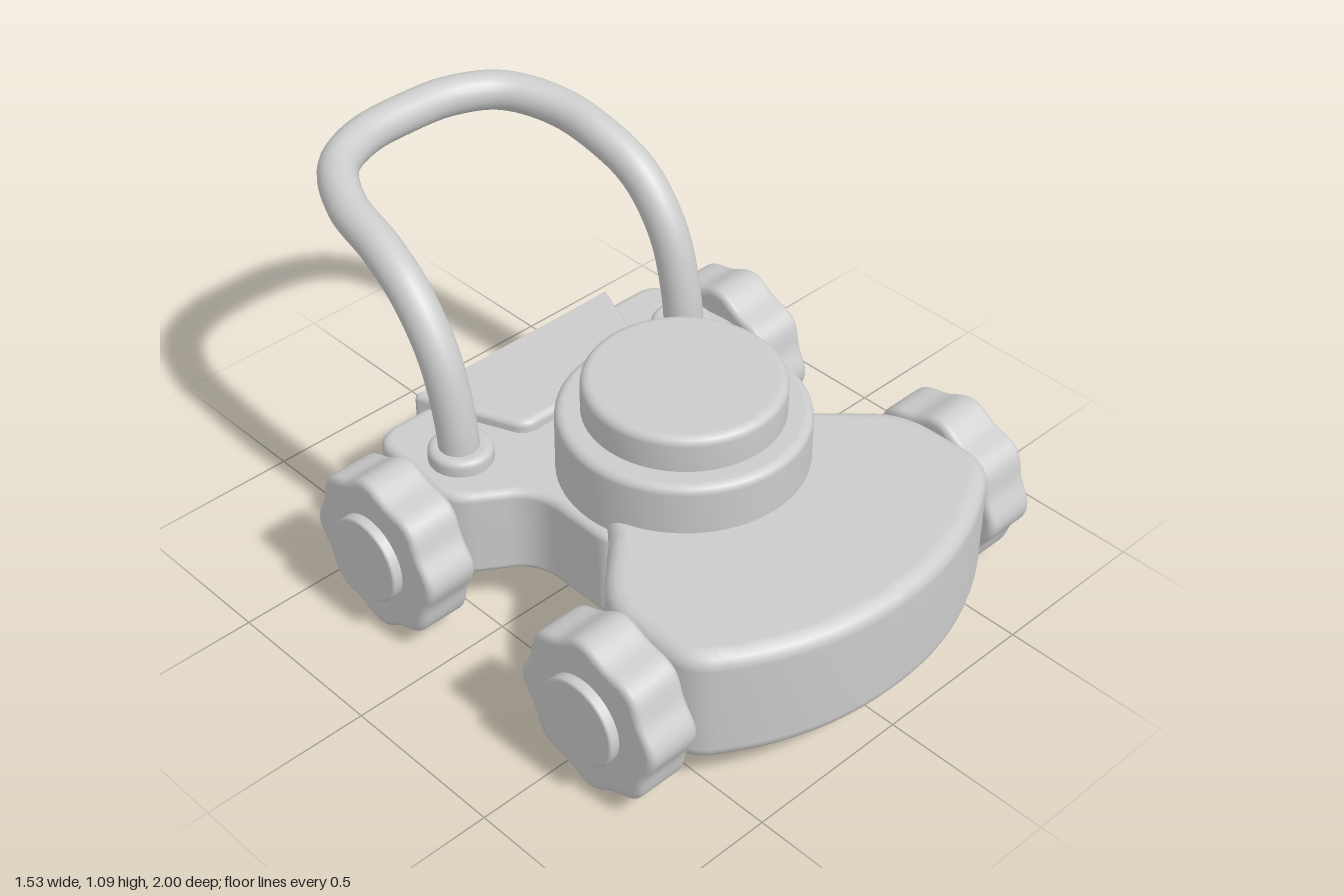
import * as THREE from 'three';
import { mergeVertices } from 'three/addons/utils/BufferGeometryUtils.js';

const material = new THREE.MeshStandardMaterial({ color: 0xcccccc });

// Solid from a shape, thickness along z, with rounded edges and smooth normals
function slab(shape, depth, bevel, curveSegments = 10) {
  let geo = new THREE.ExtrudeGeometry(shape, {
    depth: depth - 2 * bevel, bevelThickness: bevel, bevelSize: bevel,
    bevelOffset: -bevel, bevelSegments: 4, curveSegments,
  });
  geo.translate(0, 0, bevel);
  geo.deleteAttribute('normal');
  geo.deleteAttribute('uv');
  geo = mergeVertices(geo, 1e-4);
  geo.computeVertexNormals();
  return geo;
}

// Upright slab between two heights
function block(shape, y0, y1, bevel, segments) {
  return slab(shape, y1 - y0, bevel, segments).rotateX(-Math.PI / 2).translate(0, y0, 0);
}

// Mirrored plan outline from [x, z, cornerRadius] points running front to back
function plan(half) {
  const pts = [...half, ...half.map(([x, z, r]) => [-x, z, r]).reverse()]
    .map(([x, z, r]) => ({ v: new THREE.Vector2(x, -z), r }));
  const shape = new THREE.Shape();
  pts.forEach(({ v, r }, i) => {
    const prev = pts[(i + pts.length - 1) % pts.length].v;
    const next = pts[(i + 1) % pts.length].v;
    const a = prev.clone().sub(v).setLength(r).add(v);
    const b = next.clone().sub(v).setLength(r).add(v);
    if (i === 0) shape.moveTo(a.x, a.y); else shape.lineTo(a.x, a.y);
    shape.quadraticCurveTo(v.x, v.y, b.x, b.y);
  });
  shape.closePath();
  return shape;
}

function circle(r) {
  return new THREE.Shape().absarc(0, 0, r, 0, Math.PI * 2);
}

function scallop(radius, depth, lobes) {
  const pts = [];
  for (let i = 0; i < 96; i++) {
    const a = (i / 96) * Math.PI * 2;
    const r = radius - depth * (1 - Math.cos(lobes * (a - Math.PI / 2 - 0.07))) / 2;
    pts.push(new THREE.Vector2(Math.cos(a) * r, Math.sin(a) * r));
  }
  return new THREE.Shape(pts);
}

export function createModel() {
  const model = new THREE.Group();
  const add = (name, geo, parent = model) => {
    const mesh = new THREE.Mesh(geo, material);
    mesh.name = name;
    parent.add(mesh);
    return mesh;
  };

  // Front deck, its underside rising slightly towards the front
  const deck = block(plan([
    [0.28, 1.0, 0.275], [0.58, 0.8, 0.08], [0.575, 0.49, 0.1],
    [0.33, 0.26, 0.08], [0.24, -0.06, 0.06],
  ]), 0.1, 0.475, 0.045);
  const pos = deck.attributes.position;
  for (let i = 0; i < pos.count; i++) {
    if (pos.getY(i) < 0.25) pos.setY(i, pos.getY(i) + 0.018 * Math.max(0, pos.getZ(i)));
  }
  deck.computeVertexNormals();
  add('frontDeck', deck);

  // Rear body with a narrow neck
  add('rearBody', block(plan([
    [0.372, 0.3, 0.05], [0.372, 0.01, 0.08], [0.575, -0.12, 0.08], [0.545, -0.475, 0.08],
  ]), 0.15, 0.432, 0.025));

  // Tapered rear box
  add('rearBox', block(plan([
    [0.235, -0.18, 0.04], [0.375, -0.507, 0.025],
  ]), 0.16, 0.468, 0.02));

  // Engine housing and cap
  add('engineHousing', block(circle(0.35), 0.4, 0.625, 0.025, 36).translate(0, 0, 0.2));
  add('engineCap', block(circle(0.28), 0.6, 0.73, 0.025, 36).translate(0, 0, 0.2));

  // Handle
  const half = [
    [0.43, 0.38, -0.23], [0.43, 0.55, -0.245], [0.43, 0.75, -0.305],
    [0.425, 0.89, -0.415], [0.41, 0.96, -0.55], [0.385, 1.0, -0.72],
    [0.3, 1.025, -0.865], [0.16, 1.035, -0.93],
  ];
  const path = new THREE.CatmullRomCurve3([
    ...half, [0, 1.037, -0.942], ...half.map(([x, y, z]) => [-x, y, z]).reverse(),
  ].map((p) => new THREE.Vector3(...p)));
  add('handle', new THREE.TubeGeometry(path, 120, 0.058, 24));

  // Handle collars and wheels
  const tyre = slab(scallop(0.246, 0.02, 8), 0.165, 0.02).rotateY(Math.PI / 2);
  const hub = slab(circle(0.129), 0.06, 0.008, 24).rotateY(Math.PI / 2);
  const collar = block(circle(0.092), 0.41, 0.478, 0.02, 24);
  for (const side of [1, -1]) {
    const label = side > 0 ? 'left' : 'right';
    add(`${label}HandleCollar`, collar).position.set(0.425 * side, 0, -0.235);
    for (const [end, z] of [['Front', 0.595], ['Rear', -0.255]]) {
      const wheel = new THREE.Group();
      wheel.name = `${label}${end}Wheel`;
      add('tyre', tyre, wheel);
      add('hub', hub, wheel).position.x = 0.135;
      wheel.position.set(0.572 * side, 0.248, z);
      if (side < 0) wheel.rotation.y = Math.PI;
      model.add(wheel);
    }
  }
  return model;
}
